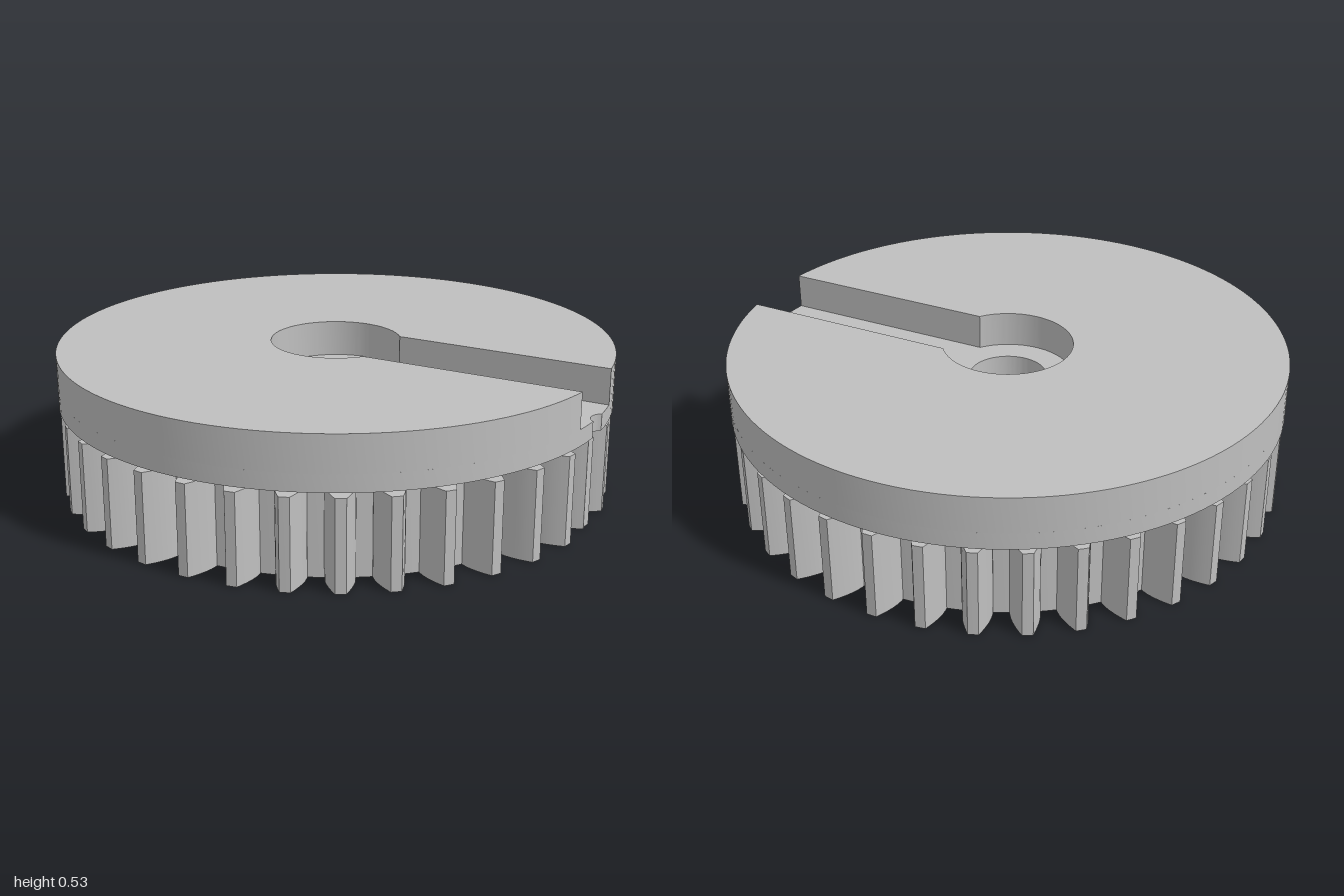
import * as THREE from 'three';
import { toCreasedNormals } from 'three/addons/utils/BufferGeometryUtils.js';

const BORE = 0.14, PIN = 0.053, PIN_X = 0.845, NOTCH_X = 1.03;
const TEETH = 36, TIP = 0.995, ROOT = 0.877, BASE = 0.886;

const circle = (x, r) => new THREE.Path().absarc(x, 0, r, 0, Math.PI * 2, true);

// Disc outline of radius R with a round bite of radius r centred at (x, 0)
function bittenDisc(R, x, r) {
  const cx = (R * R - r * r + x * x) / (2 * x);
  const cy = Math.sqrt(R * R - cx * cx);
  const a = Math.atan2(cy, cx), b = Math.atan2(cy, cx - x);
  const s = new THREE.Shape();
  s.absarc(0, 0, R, a, Math.PI * 2 - a, false);
  s.absarc(x, 0, r, -b, b - Math.PI * 2, true); // walk round the inner side of the bite
  s.closePath();
  return s;
}

// Involute half-angle of a tooth at radius r
function halfAngle(r) {
  const inv = (t) => Math.tan(t) - t;
  const t = r > BASE ? Math.acos(BASE / r) : 0;
  return Math.PI / (2 * TEETH) + inv(0.349) - inv(t) - 0.002;
}

function gearShape() {
  const pts = [];
  const add = (r, a) => pts.push(new THREE.Vector2(r * Math.cos(a), r * Math.sin(a)));
  for (let i = 0; i < TEETH; i++) {
    const c = (i / TEETH) * Math.PI * 2;
    const tip = i === 0 ? 0.981 : TIP; // first tooth is trimmed by the rim notch
    const radii = [ROOT];
    for (let k = 0; k <= 5; k++) radii.push(BASE + ((tip - BASE) * k) / 5);
    radii.forEach((r) => add(r, c - halfAngle(r)));
    add(i === 0 ? 0.977 : tip, c);
    radii.reverse().forEach((r) => add(r, c + halfAngle(r)));
    add(ROOT, c + Math.PI / TEETH);
  }
  return new THREE.Shape(pts);
}

// Disc with a keyhole slot open towards +x
function keyholeDisc() {
  const w = 0.1415, recess = 0.235;
  const a = Math.asin(w), b = Math.asin(w / recess);
  const s = new THREE.Shape();
  s.absarc(0, 0, 1, a, Math.PI * 2 - a, false);
  s.absarc(0, 0, recess, Math.PI * 2 - b, b, true);
  s.closePath();
  return s;
}

export function createModel() {
  const group = new THREE.Group();
  const grey = new THREE.MeshStandardMaterial({ color: 0xbfbfbf });
  grey.name = 'grey';

  // Extrude a plan outline upwards from y0 to y1
  function layer(name, shape, holes, y0, y1) {
    shape.holes.push(...holes);
    const raw = new THREE.ExtrudeGeometry(shape, { depth: y1 - y0, bevelEnabled: false, curveSegments: 64 });
    raw.rotateX(-Math.PI / 2).translate(0, y0, 0);
    const mesh = new THREE.Mesh(toCreasedNormals(raw, 0.4), grey);
    mesh.name = name;
    group.add(mesh);
  }

  layer('gearTeeth', gearShape(), [circle(0, BORE), circle(PIN_X, PIN)], 0, 0.32);
  layer('neck', bittenDisc(0.88, PIN_X, PIN), [circle(0, BORE)], 0.32, 0.34);
  layer('slotFloor', bittenDisc(1, NOTCH_X, PIN), [circle(0, BORE), circle(PIN_X, PIN)], 0.34, 0.4);
  layer('slottedDisc', keyholeDisc(), [], 0.4, 0.53);
  return group;
}
